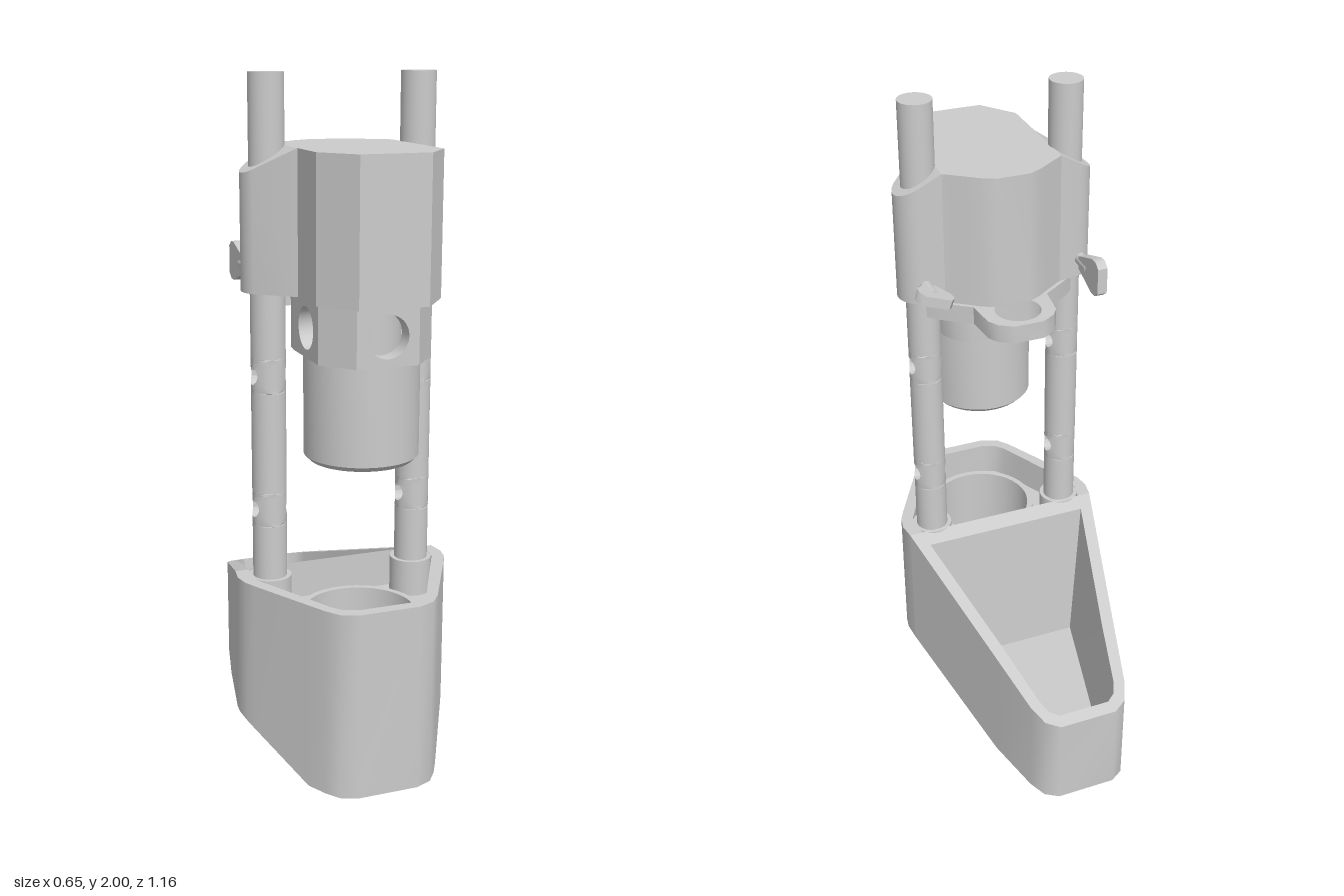
import * as THREE from 'three';
import { toCreasedNormals } from 'three/addons/utils/BufferGeometryUtils.js';

const material = new THREE.MeshStandardMaterial({ color: 0xcccccc });
const doubleSided = new THREE.MeshStandardMaterial({ color: 0xcccccc, side: THREE.DoubleSide });
const CREASE = 0.65;

function add(parent, name, geometry, x = 0, y = 0, z = 0, mat = material) {
  const mesh = new THREE.Mesh(geometry, mat);
  mesh.name = name;
  mesh.position.set(x, y, z);
  parent.add(mesh);
  return mesh;
}

// Full plan outline from its +x half, listed front to back
const contour = half => [...half, ...half.slice().reverse().map(([x, z]) => [-x, z])];

// Skin through closed rings of [x, y, z] points, with optional end caps
function loft(rings, capStart, capEnd) {
  const out = [];
  const n = rings[0].length;
  const tri = (...p) => p.forEach(v => out.push(...v));
  for (let i = 0; i < rings.length - 1; i++) {
    for (let j = 0; j < n; j++) {
      const k = (j + 1) % n;
      const [a, b, c, d] = [rings[i][j], rings[i][k], rings[i + 1][k], rings[i + 1][j]];
      tri(a, b, c);
      tri(a, c, d);
    }
  }
  const last = rings[rings.length - 1];
  for (let j = 1; j < n - 1; j++) {
    if (capStart) tri(rings[0][0], rings[0][j + 1], rings[0][j]);
    if (capEnd) tri(last[0], last[j], last[j + 1]);
  }
  const g = new THREE.BufferGeometry();
  g.setAttribute('position', new THREE.Float32BufferAttribute(out, 3));
  return toCreasedNormals(g, CREASE);
}

// Upright prism over an [x, z] outline, with an optional round hole [x, z, r]
function prism(points, y0, y1, hole) {
  const shape = new THREE.Shape(points.map(p => new THREE.Vector2(...p)));
  if (hole) shape.holes.push(new THREE.Path().absarc(...hole, 0, Math.PI * 2, true));
  const g = new THREE.ExtrudeGeometry(shape, { depth: y1 - y0, bevelEnabled: false, curveSegments: 24 });
  g.rotateX(Math.PI / 2).translate(0, y1, 0);
  return toCreasedNormals(g, CREASE);
}

// Flat panel with a round hole, facing +z
function holedPanel(w, h, r, depth) {
  const s = new THREE.Shape([[-w, -h], [w, -h], [w, h], [-w, h]].map(([x, y]) => new THREE.Vector2(x / 2, y / 2)));
  s.holes.push(new THREE.Path().absarc(0, 0, r, 0, Math.PI * 2, true));
  const g = new THREE.ExtrudeGeometry(s, { depth, bevelEnabled: false, curveSegments: 16 });
  return toCreasedNormals(g.translate(0, 0, -depth), CREASE);
}

// Short length of rod, drilled through along x
function drilledRod(r, hole, halfHeight) {
  const N = 32;
  const ring = (t, side) => Array.from({ length: N }, (_, j) => {
    const a = (j / N) * Math.PI * 2;
    const c = Math.cos(a), s = Math.sin(a), m = Math.max(Math.abs(c), Math.abs(s));
    const y = THREE.MathUtils.lerp(hole * s, halfHeight * s / m, t);
    const z = -THREE.MathUtils.lerp(hole * c, r * c / m, t);
    return [side * Math.sqrt(Math.max(0, r * r - z * z)), y, z];
  });
  const steps = [1, 0.95, 0.8, 0.5, 0];
  return loft([...steps.map(t => ring(t, 1)), ...steps.slice().reverse().map(t => ring(t, -1))]);
}

// Hollow tray: chamfered underside, outer wall, rim, inner wall
function tray(outerHalf, innerHalf, floorHalf, floorY, closed) {
  const outer = contour(outerHalf), inner = contour(innerHalf), floor = contour(floorHalf);
  const topY = z => 0.56 - Math.max(0, 0.15 - z) * 0.356;
  return loft([
    outer.map(([x, z]) => [THREE.MathUtils.clamp(x, -0.2, 0.2), 0, z]),
    outer.map(([x, z]) => [x, Math.max(0, Math.abs(x) - 0.2) * 1.04, z]),
    outer.map(([x, z]) => [x, topY(z), z]),
    inner.map(([x, z]) => [x, topY(z), z]),
    floor.map(([x, z]) => [x, floorY, z]),
  ], true, closed);
}

function buildBase() {
  const base = new THREE.Group();
  base.name = 'base';
  const rearOuter = [[0.317, 0.15], [0.2, -0.318], [0.155, -0.5], [0.13, -0.555], [0.09, -0.58]];
  const rearInner = [[0.265, 0.1], [0.163, -0.31], [0.122, -0.49], [0.107, -0.525], [0.08, -0.545]];
  const rearFloor = rearInner.map(([x, z]) => [x * 0.85, -0.22 + (z + 0.22) * 0.92]);
  add(base, 'rearTray', tray(rearOuter, rearInner, rearFloor, 0.05, true));

  const frontOuter = [[0.09, 0.58], [0.14, 0.56], [0.17, 0.52], [0.2, 0.465], [0.3, 0.28], [0.317, 0.245], [0.325, 0.2], [0.317, 0.15]];
  const frontInner = [[0.08, 0.545], [0.12, 0.53], [0.145, 0.5], [0.175, 0.44], [0.265, 0.265], [0.28, 0.235], [0.285, 0.2], [0.275, 0.15]];
  add(base, 'frontTray', tray(frontOuter, frontInner, frontInner, 0.42, false));
  add(base, 'trayDeck', prism(contour(frontInner), 0.42, 0.45, [0, 0.35, 0.165]));

  // Round cup sunk into the front deck
  const cup = [[0, 0.06], [0.16, 0.06], [0.16, 0.475], [0.178, 0.475], [0.178, 0.44]].map(p => new THREE.Vector2(...p));
  add(base, 'cup', toCreasedNormals(new THREE.LatheGeometry(cup, 40), CREASE), 0, 0, 0.35, doubleSided);
  return base;
}

function buildPost(x) {
  const post = new THREE.Group();
  post.name = x > 0 ? 'leftPost' : 'rightPost';
  const r = 0.05, h = 0.05, holes = [0.77, 1.165];
  const cuts = [0.44, ...holes.flatMap(y => [y - h, y + h]), 2];
  for (let i = 0; i < cuts.length; i += 2) {
    const len = cuts[i + 1] - cuts[i];
    add(post, 'rod', new THREE.CylinderGeometry(r, r, len, 32, 1, false), 0, cuts[i] + len / 2, 0);
  }
  holes.forEach(y => add(post, 'drilledRod', drilledRod(r, 0.028, h), 0, y, 0));
  add(post, 'socket', new THREE.CylinderGeometry(0.063, 0.063, 0.12, 32), 0, 0.499, 0);
  post.position.set(x, 0, 0.2);
  return post;
}

function buildHousing() {
  const housing = new THREE.Group();
  housing.name = 'housing';
  const half = [[0.1, 0.58], [0.18, 0.475], [0.18, 0.33], [0.18, 0.12], [0.13, 0.085], [0.09, 0.055], [0.05, 0.035]];
  add(housing, 'housingCentre', prism(contour(half), 1.405, 1.805));

  // Lobes around the posts, sloping down outwards
  for (const side of [1, -1]) {
    const lobe = [[0.18, 0.33]];
    for (let i = 0; i <= 12; i++) {
      const a = 0.75 - (i / 12) * 2.15;
      lobe.push([0.23 + 0.07 * Math.cos(a), 0.2 + 0.07 * Math.sin(a)]);
    }
    lobe.push([0.18, 0.12]);
    const g = prism(lobe.map(([x, z]) => [side * x, z]), 1.405, 1.805);
    const p = g.attributes.position;
    for (let i = 0; i < p.count; i++) {
      if (p.getY(i) > 1.8) p.setY(i, 1.805 - (Math.abs(p.getX(i)) - 0.18) * 0.6);
    }
    add(housing, 'postLobe', toCreasedNormals(g, CREASE));
  }

  // Rear bracket with a round eye
  const bracket = [[0.24, 0.16], [0.2, 0.12], [0.115, 0.06], [0.105, -0.035], [0.085, -0.065], [0.045, -0.09]];
  add(housing, 'rearBracket', prism(contour(bracket), 1.35, 1.405, [0, 0, 0.068]));

  // Thumb screws behind the lobes: one blade flat, one upright
  for (const side of [1, -1]) {
    const screw = new THREE.Group();
    screw.name = 'thumbScrew';
    const shaft = add(screw, 'screwShaft', new THREE.CylinderGeometry(0.018, 0.018, 0.08, 16), 0, 0, 0.1);
    shaft.rotation.x = Math.PI / 2;
    const depth = side > 0 ? 0.02 : -0.03;
    const blade = [[-0.04, depth], [0.04, depth], [0.055, depth + 0.02], [0.055, depth + 0.045], [0.02, 0.11], [-0.02, 0.11], [-0.055, depth + 0.045], [-0.055, depth + 0.02]];
    add(screw, 'screwBlade', prism(blade, -0.015, 0.015));
    screw.rotation.z = side > 0 ? 0.35 : Math.PI / 2;
    screw.position.set(side > 0 ? 0.235 : -0.252, 1.462, 0);
    housing.add(screw);
  }
  return housing;
}

function buildMotor() {
  const motor = new THREE.Group();
  motor.name = 'motor';
  const profile = [[0, 0.965], [0.1, 0.965], [0.1, 0.94], [0.148, 0.94], [0.163, 0.955], [0.163, 1.24], [0.11, 1.24], [0.11, 1.41]];
  add(motor, 'motorCan', toCreasedNormals(new THREE.LatheGeometry(profile.map(p => new THREE.Vector2(...p)), 40), CREASE), 0, 0, 0.35);
  add(motor, 'motorKey', new THREE.BoxGeometry(0.07, 0.025, 0.03), 0, 0.955, 0.35);

  // Collar: drilled front and side panels, corner pieces and a solid back
  const y0 = 1.24, y1 = 1.405, h = y1 - y0, mid = (y0 + y1) / 2;
  add(motor, 'collarFront', holedPanel(0.18, h, 0.06, 0.05), 0, mid, 0.54);
  for (const side of [1, -1]) {
    const panel = add(motor, 'collarSide', holedPanel(0.2, h, 0.06, 0.045), side * 0.165, mid, 0.35);
    panel.rotation.y = side * Math.PI / 2;
    const corner = [[0.09, 0.54], [0.165, 0.45], [0.12, 0.45], [0.09, 0.49]];
    add(motor, 'collarCorner', prism(corner.map(([x, z]) => [side * x, z]), y0, y1));
  }
  add(motor, 'collarBack', prism(contour([[0.165, 0.25], [0.16, 0.21], [0.135, 0.17], [0.09, 0.14]]), y0, y1));
  return motor;
}

export function createModel() {
  const model = new THREE.Group();
  model.name = 'motorStand';
  model.add(buildBase(), buildPost(0.225), buildPost(-0.225), buildHousing(), buildMotor());
  return model;
}
